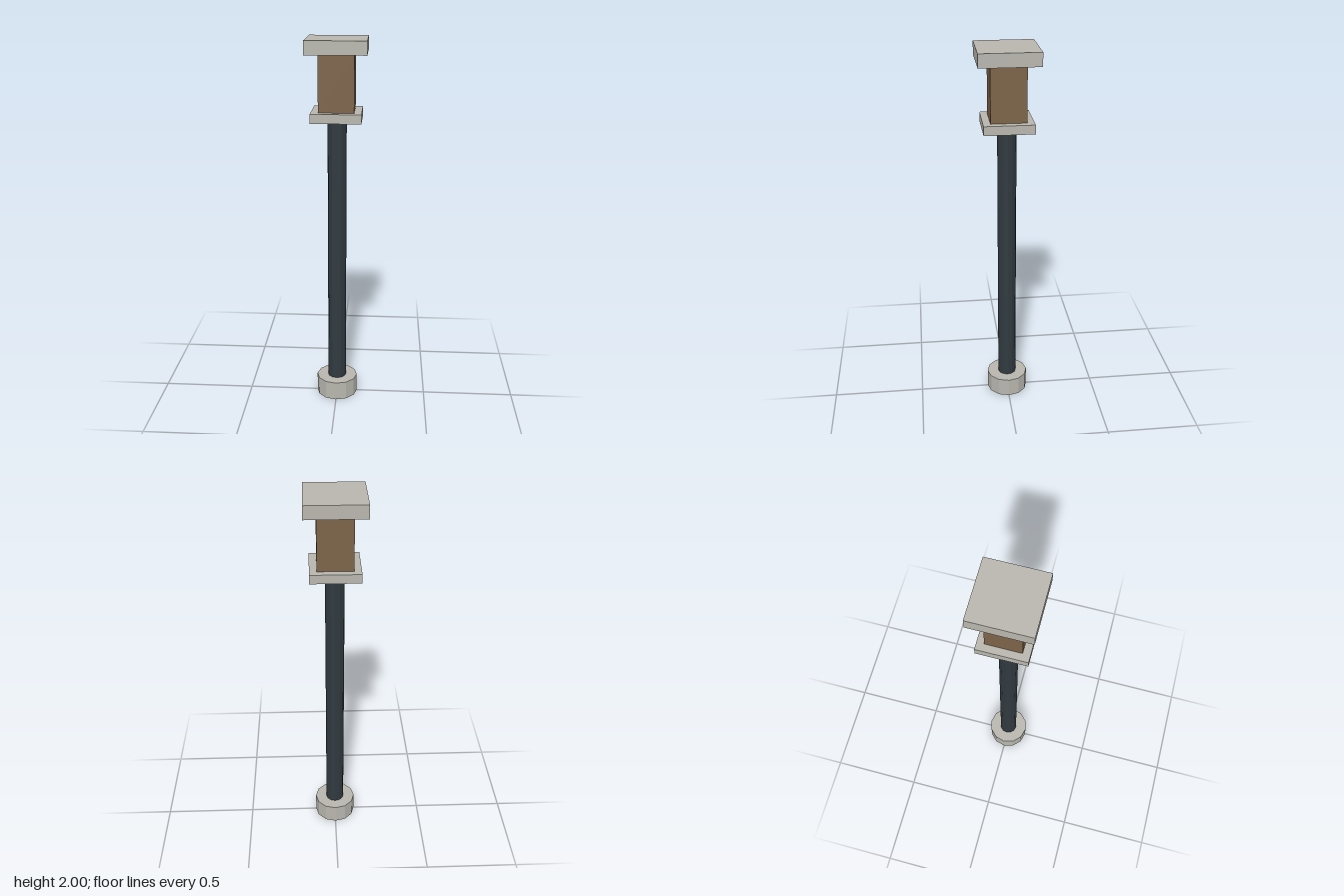
import * as THREE from 'three';

function material(name, color) {
  const m = new THREE.MeshStandardMaterial({ color, flatShading: true });
  m.name = name;
  return m;
}

export function createModel() {
  const group = new THREE.Group();
  group.name = 'lampPost';

  const stone = material('pale stone', 0xb8b6ae);
  const wood = material('brown panel', 0x7c6348);
  const iron = material('dark iron', 0x303a40);

  // Places a geometry so that it spans from y = bottom to y = top
  function part(name, geometry, mat, bottom, top) {
    const mesh = new THREE.Mesh(geometry, mat);
    mesh.name = name;
    mesh.position.y = (bottom + top) / 2;
    group.add(mesh);
  }
  const round = (name, radius, mat, bottom, top) =>
    part(name, new THREE.CylinderGeometry(radius, radius, top - bottom, 12), mat, bottom, top);
  const square = (name, width, mat, bottom, top) =>
    part(name, new THREE.BoxGeometry(width, top - bottom, width), mat, bottom, top);

  // Foot and pole
  round('foot', 0.113, stone, 0, 0.104);
  round('pole', 0.05, iron, 0.104, 1.588);

  // Square head between two plates
  square('lowerPlate', 0.26, stone, 1.588, 1.636);
  square('head', 0.184, wood, 1.636, 1.93);
  square('cap', 0.312, stone, 1.93, 2);

  return group;
}
